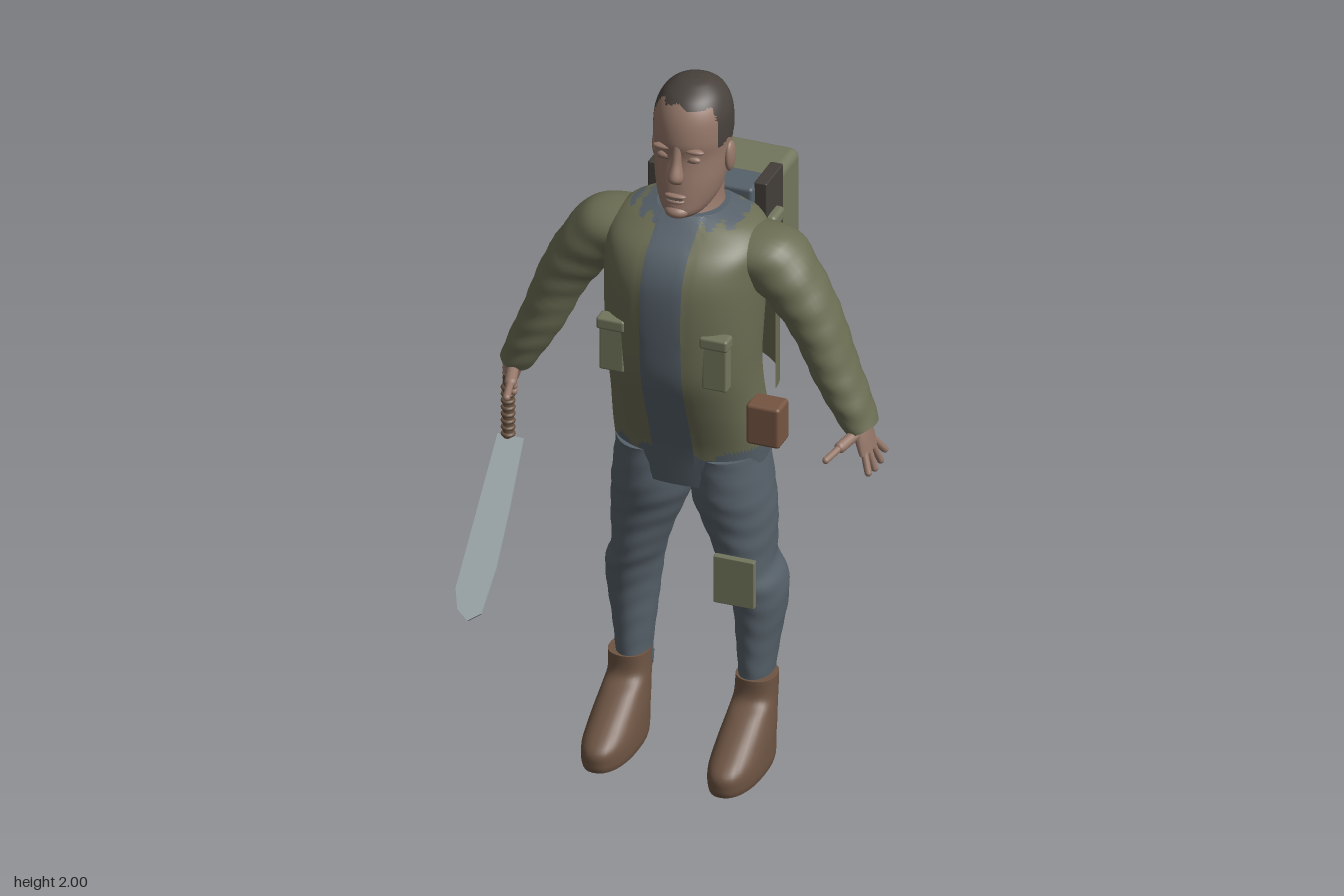
import * as THREE from 'three';
import { mergeVertices } from 'three/addons/utils/BufferGeometryUtils.js';
import { RoundedBoxGeometry } from 'three/addons/geometries/RoundedBoxGeometry.js';

const paint = (name, color) => Object.assign(new THREE.MeshStandardMaterial({ color }), { name });

// Cross-section at height y, from front z, back z and half width
const level = (y, zf, zb, r, x = 0) => [x, y, (zf + zb) / 2, r, (zf - zb) / 2, 0];

// Smooth skin over sections [x, y, z, halfWidth, halfDepth, tilt], listed from top to bottom
function loft(sections, { seg = 32, steps = 6, n = 2, pick = () => 0, warp, folds = 0 } = {}) {
  const last = sections.length - 1, rows = last * steps, pos = [], faces = [[], []], p = new THREE.Vector3();
  const at = i => sections[Math.min(last, Math.max(0, i))];
  const bend = v => Math.sign(v) * Math.abs(v) ** (2 / n);
  for (let i = 0; i <= rows; i++) {
    const k = Math.min(last - 1, Math.floor(i / steps)), t = i / steps - k;
    const [x, y, z, r, d, a] = at(k).map((b, c) => {
      const m0 = (at(k + 1)[c] - at(k - 1)[c]) / 2, m1 = (at(k + 2)[c] - b) / 2, e = at(k + 1)[c];
      return b + t * (m0 + t * (3 * (e - b) - 2 * m0 - m1 + t * (2 * (b - e) + m0 + m1)));
    });
    for (let j = 0; j < seg; j++) {
      const th = j / seg * Math.PI * 2, f = 1 + folds * Math.sin(y * 95 + 2 * Math.sin(th * 2));
      const u = bend(Math.cos(th)) * r * f, v = bend(Math.sin(th)) * d * f;
      p.set(x + u * Math.cos(a), y + u * Math.sin(a), z + v);
      if (warp) warp(p, i / rows);
      pos.push(p.x, p.y, p.z);
    }
  }
  const face = (a, b, c) => {
    const mid = q => (pos[a * 3 + q] + pos[b * 3 + q] + pos[c * 3 + q]) / 3;
    faces[pick(mid(0), mid(1), mid(2))].push(a, b, c);
  };
  for (let i = 0; i < rows; i++) for (let j = 0; j < seg; j++) {
    const a = i * seg + j, b = i * seg + (j + 1) % seg;
    face(a, b, a + seg);
    face(b, b + seg, a + seg);
  }
  // closed ends with their own vertices
  for (const end of [0, 1]) {
    const from = end * rows * seg, base = pos.length / 3;
    pos.push(...pos.slice(from * 3, (from + seg) * 3), ...at(end * last).slice(0, 3));
    for (let j = 0; j < seg; j++) {
      const a = base + j, b = base + (j + 1) % seg;
      if (end) face(a, b, base + seg); else face(b, a, base + seg);
    }
  }
  const g = new THREE.BufferGeometry();
  g.setAttribute('position', new THREE.Float32BufferAttribute(pos, 3));
  g.setIndex(faces.flat());
  g.addGroup(0, faces[0].length, 0);
  g.addGroup(faces[0].length, faces[1].length, 1);
  g.computeVertexNormals();
  return g;
}

// Copy across x = 0, with the corner order kept outward
function mirrored(geo) {
  const g = mergeVertices(geo).scale(-1, 1, 1), ix = g.index.array;
  for (let i = 0; i < ix.length; i += 3) [ix[i], ix[i + 1]] = [ix[i + 1], ix[i]];
  return g;
}

// Box given by its lowest and highest corner
const box = ([x0, y0, z0], [x1, y1, z1], r = 0.008) =>
  new RoundedBoxGeometry(x1 - x0, y1 - y0, z1 - z0, 3, r).translate((x0 + x1) / 2, (y0 + y1) / 2, (z0 + z1) / 2);
const ball = (x, y, z, a, b, c) => new THREE.SphereGeometry(1, 20, 14).scale(a, b, c).translate(x, y, z);

// Capsule between two points
function finger(from, to, r) {
  const a = new THREE.Vector3(...from), b = new THREE.Vector3(...to), d = b.clone().sub(a);
  const g = new THREE.CapsuleGeometry(r, d.length(), 4, 10);
  g.applyQuaternion(new THREE.Quaternion().setFromUnitVectors(new THREE.Vector3(0, 1, 0), d.normalize()));
  return g.translate(...a.add(b).multiplyScalar(0.5).toArray());
}

export function createModel() {
  const root = new THREE.Group();
  const skin = paint('skin', 0x96786a), hair = paint('hair', 0x48413c), olive = paint('jacket olive', 0x6b6d53);
  const slate = paint('slate cloth', 0x57616a), boot = paint('boot brown', 0x6d5443), gear = paint('gear olive', 0x73765d);
  const strap = paint('strap dark', 0x433e39), steel = paint('steel', 0xa0abae), grip = paint('grip brown', 0x66503f);
  const leather = paint('pouch leather', 0x765542);
  olive.side = THREE.DoubleSide;
  const add = (name, geo, mat) => {
    const m = new THREE.Mesh(geo, mat);
    m.name = name;
    root.add(m);
  };
  const pair = (name, geo, mat) => {
    add(name + 'Left', geo, mat);
    add(name + 'Right', mirrored(geo), mat);
  };

  // Torso: open jacket over a shirt strip, ragged hem
  const half = 0.058;
  add('torso', loft([
    level(1.635, 0.085, -0.11, 0.095), level(1.605, 0.125, -0.135, 0.18), level(1.56, 0.185, -0.15, 0.215),
    level(1.5, 0.222, -0.15, 0.215), level(1.42, 0.235, -0.14, 0.213), level(1.3, 0.235, -0.125, 0.208),
    level(1.2, 0.226, -0.12, 0.203), level(1.1, 0.193, -0.13, 0.204), level(1.02, 0.163, -0.145, 0.21),
    level(0.95, 0.14, -0.145, 0.211), level(0.84, 0.12, -0.135, 0.2),
  ], {
    seg: 96, n: 2.25,
    warp: p => { if (p.z > 0.02 && Math.abs(Math.abs(p.x) - half) < 0.009) p.x = Math.sign(p.x) * half; },
    pick: (x, y, z) => y > 1.618 + 0.008 * Math.sin(x * 130) || (z > 0 && Math.abs(x) < half)
      || y < 0.945 + 0.014 * Math.sin(x * 60 + z * 45) ? 1 : 0,
  }), [olive, slate]);

  // Trouser legs with torn cuffs
  pair('trouserLeg', loft([
    level(0.93, 0.13, -0.14, 0.098, 0.105), level(0.8, 0.125, -0.147, 0.108, 0.111), level(0.72, 0.107, -0.14, 0.1, 0.125),
    level(0.65, 0.097, -0.13, 0.085, 0.14), level(0.58, 0.09, -0.13, 0.072, 0.152), level(0.52, 0.078, -0.145, 0.074, 0.172),
    level(0.44, 0.06, -0.138, 0.068, 0.178), level(0.35, 0.05, -0.118, 0.057, 0.175), level(0.25, 0.045, -0.1, 0.046, 0.173),
    level(0.2, 0.04, -0.1, 0.046, 0.173),
  ], { folds: 0.012, warp: (p, t) => { if (t > 0.99) p.y += 0.014 * Math.sin(p.z * 150 + p.x * 90); } }), slate);

  // Boots
  pair('boot', loft([
    level(0.245, 0.05, -0.068, 0.055, 0.18), level(0.19, 0.055, -0.068, 0.056, 0.178), level(0.155, 0.105, -0.068, 0.059, 0.178),
    level(0.105, 0.185, -0.067, 0.065, 0.178), level(0.06, 0.25, -0.065, 0.068, 0.178), level(0.02, 0.257, -0.065, 0.068, 0.178),
    level(0, 0.252, -0.062, 0.064, 0.178),
  ], { n: 2.3 }), boot);

  // Sleeves
  pair('sleeve', loft([
    [0.14, 1.525, 0, 0.08, 0.11, 1.25], [0.23, 1.513, 0.003, 0.09, 0.108, 0.95], [0.3, 1.44, 0.008, 0.08, 0.095, 0.75],
    [0.36, 1.34, 0.01, 0.069, 0.085, 0.52], [0.41, 1.22, 0.013, 0.061, 0.078, 0.42], [0.455, 1.13, 0.016, 0.053, 0.07, 0.4],
    [0.487, 1.065, 0.018, 0.044, 0.058, 0.4],
  ], { folds: 0.022 }), olive);

  // Hands: open left, closed right
  pair('palm', loft([
    [0.48, 1.085, 0.015, 0.03, 0.038, 0.35], [0.492, 1.045, 0.02, 0.022, 0.045, 0.3], [0.503, 1.0, 0.018, 0.016, 0.05, 0.2],
  ], { seg: 20 }), skin);
  pair('thumbBase', finger([0.485, 1.06, 0.045], [0.465, 1.05, 0.12], 0.016), skin);
  pair('thumbTip', finger([0.465, 1.05, 0.12], [0.45, 1.042, 0.185], 0.01), skin);
  [[0.048, 0.065, 0.955], [0.022, 0.02, 0.946], [-0.002, -0.022, 0.948], [-0.02, -0.052, 0.965]].forEach(([z0, z1, y], i) => {
    add('fingerLeft' + i, finger([0.503, 1.01, z0], [0.522, y, z1], 0.01), skin);
    add('fingerRight' + i, finger([-0.515, 1.0 + i * 0.015, 0.02], [-0.475, 0.998 + i * 0.017, 0.075], 0.012), skin);
  });

  // Neck and head, with the hairline cut into the skull
  add('neck', loft([level(1.73, 0.05, -0.1, 0.078), level(1.66, 0.062, -0.1, 0.077), level(1.6, 0.09, -0.115, 0.086)]), skin);
  add('head', loft([
    level(2.0, 0.0, -0.035, 0.015), level(1.992, 0.03, -0.065, 0.047), level(1.965, 0.075, -0.106, 0.08),
    level(1.92, 0.102, -0.128, 0.1), level(1.86, 0.113, -0.134, 0.104), level(1.81, 0.108, -0.124, 0.1),
    level(1.74, 0.119, -0.106, 0.093), level(1.69, 0.125, -0.095, 0.081), level(1.655, 0.125, -0.05, 0.06),
    level(1.635, 0.1, -0.02, 0.038),
  ], {
    seg: 64, steps: 8,
    pick: (x, y, z) => y > (z < 0.045 ? 1.842 : 1.957) + 0.006 * Math.sin(z * 110 + x * 70) ? 1 : 0,
  }), [skin, hair]);
  add('nose', loft([
    [0, 1.855, 0.105, 0.012, 0.008, 0], [0, 1.81, 0.112, 0.013, 0.016, 0], [0, 1.768, 0.12, 0.021, 0.025, 0],
    [0, 1.748, 0.115, 0.016, 0.012, 0],
  ], { seg: 16 }), skin);
  add('upperLip', ball(0, 1.712, 0.12, 0.03, 0.007, 0.013), skin);
  add('lowerLip', ball(0, 1.697, 0.12, 0.026, 0.008, 0.014), skin);
  add('mouthLine', ball(0, 1.7045, 0.127, 0.024, 0.0015, 0.006), hair);
  add('chin', ball(0, 1.662, 0.107, 0.034, 0.02, 0.03), skin);
  pair('ear', ball(0.102, 1.785, -0.012, 0.013, 0.044, 0.026), skin);
  pair('brow', ball(0.042, 1.842, 0.098, 0.03, 0.008, 0.013), skin);
  pair('eyelid', ball(0.041, 1.815, 0.095, 0.02, 0.01, 0.011), skin);
  pair('eyeLine', ball(0.041, 1.811, 0.1025, 0.016, 0.002, 0.004), hair);

  // Loose jacket back and the cloth under the pack
  const back = new THREE.CylinderGeometry(1, 1, 0.42, 40, 1, true, Math.PI / 2, Math.PI);
  add('jacketBack', back.scale(0.235, 1, 0.2).translate(0, 1.325, 0), olive);
  add('backCloth', box([-0.135, 1.595, -0.185], [0.135, 1.648, -0.085], 0.01), slate);
  add('shoulderRoll', box([-0.19, 1.52, -0.185], [0.19, 1.56, -0.11], 0.012), gear);

  // Backpack
  add('backpack', box([-0.165, 1.25, -0.36], [0.165, 1.64, -0.18], 0.025), gear);
  add('backpackPocket', box([-0.122, 1.285, -0.413], [0.122, 1.475, -0.34], 0.015), gear);
  pair('backpackStrap', box([0.132, 1.475, -0.226], [0.168, 1.66, -0.106], 0.004), strap);

  // Pouches and knee patch
  pair('chestPouch', box([0.11, 1.2, 0.175], [0.18, 1.33, 0.212], 0.006), gear);
  pair('chestPouchFlap', box([0.105, 1.325, 0.175], [0.185, 1.36, 0.222], 0.008), gear);
  add('hipPouch', box([0.195, 1.0, 0.04], [0.29, 1.12, 0.115], 0.01), leather);
  add('kneePatch', box([0.105, 0.505, 0.098], [0.22, 0.645, 0.118], 0.003), gear);

  // Machete: ribbed upright grip, blade angled forward
  add('macheteGrip', new THREE.CylinderGeometry(0.014, 0.014, 0.19, 16).translate(-0.497, 0.94, 0.055), grip);
  for (let i = 0; i < 8; i++)
    add('gripRib' + i, new THREE.TorusGeometry(0.014, 0.006, 8, 18).rotateX(Math.PI / 2).translate(-0.497, 0.855 + i * 0.02, 0.055), grip);
  const outline = [[-0.525, 0], [-0.525, -0.43], [-0.505, -0.485], [-0.47, -0.51], [-0.438, -0.485], [-0.431, -0.36], [-0.438, -0.2], [-0.452, 0]];
  const blade = new THREE.ExtrudeGeometry(new THREE.Shape(outline.map(q => new THREE.Vector2(...q))), { depth: 0.006, bevelEnabled: false });
  add('macheteBlade', blade.translate(0, 0, -0.003).rotateX(-0.77).translate(0, 0.85, 0.058), steel);
  return root;
}
